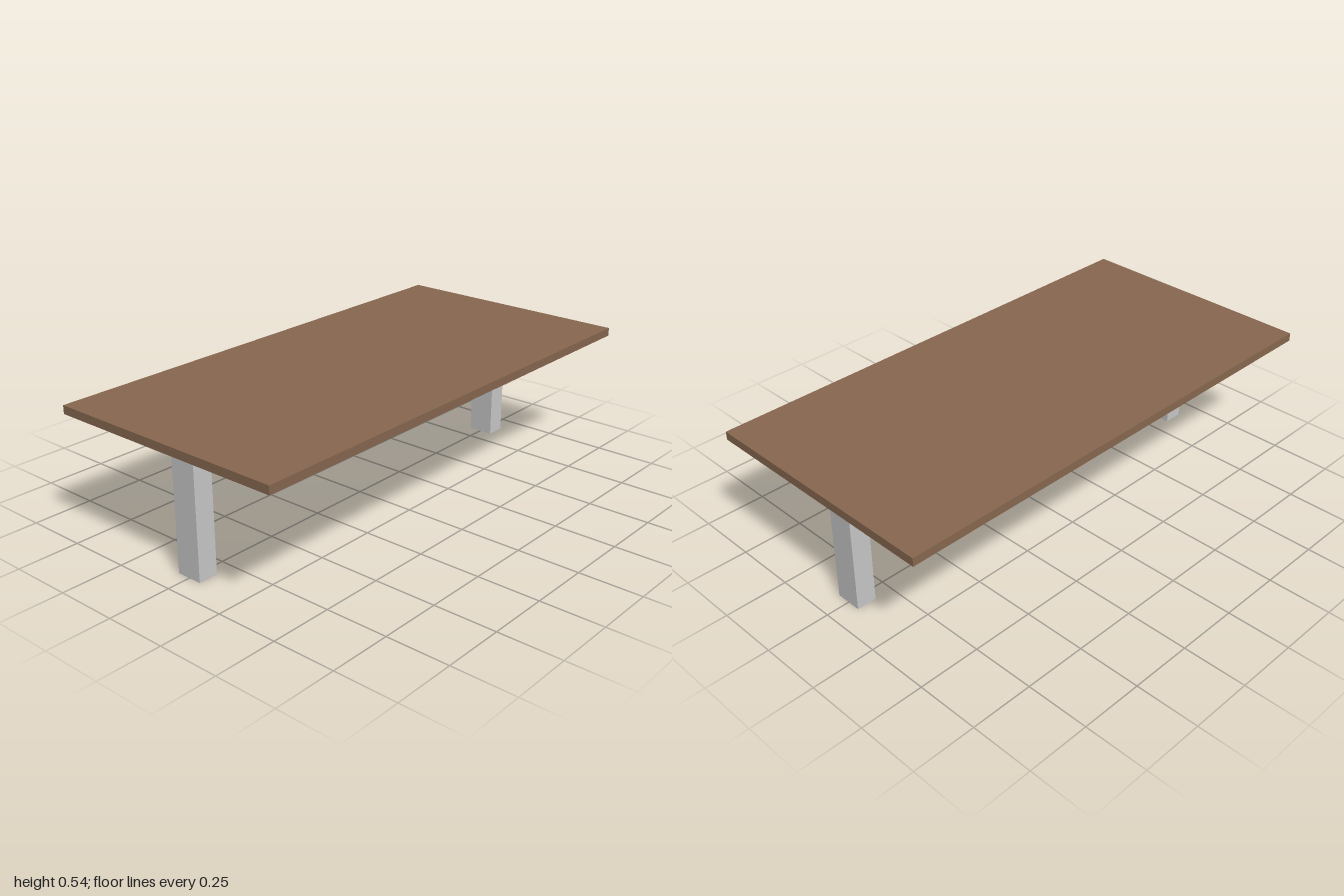
import * as THREE from 'three';

const wood = new THREE.MeshStandardMaterial({ color: 0x886850 });
wood.name = 'brown wood';
const metal = new THREE.MeshStandardMaterial({ color: 0xc9c9c9 });
metal.name = 'light grey metal';

const TOP = 0.508, FLOOR = 0.403, BACK = -0.394, FRONT = -0.192, T = 0.004;

function box(parent, name, mat, x0, x1, y0, y1, z0, z1) {
  const m = new THREE.Mesh(new THREE.BoxGeometry(x1 - x0, y1 - y0, z1 - z0), mat);
  m.position.set((x0 + x1) / 2, (y0 + y1) / 2, (z0 + z1) / 2);
  m.name = name;
  parent.add(m);
  return m;
}

function outline(points) {
  return points.map(([x, y]) => new THREE.Vector2(x, y));
}

// Thin sheet from the origin to (w, h); slots are [x, y, width, height]
function panel(name, w, h, slots) {
  const shape = new THREE.Shape(outline([[0, 0], [w, 0], [w, h], [0, h]]));
  for (const [x, y, a, b] of slots) {
    shape.holes.push(new THREE.Path(outline([[x, y], [x, y + b], [x + a, y + b], [x + a, y]])));
  }
  const m = new THREE.Mesh(new THREE.ExtrudeGeometry(shape, { depth: T, bevelEnabled: false }), metal);
  m.name = name;
  return m;
}

// Grid of slots, three per row
function slotRows(w, rows, height) {
  const out = [];
  for (const y of rows) {
    for (const f of [0.115, 0.455, 0.785]) out.push([f * w, y, Math.min(0.24 * w, 0.972 * w - f * w), height]);
  }
  return out;
}

// Hanging bracket: top plate and two triangular gussets
function bracket(x, s, z) {
  const g = new THREE.Group();
  g.name = 'hangingBracket';
  box(g, 'bracketPlate', metal, Math.min(x, x + s * 0.05), Math.max(x, x + s * 0.05), TOP - 0.005, TOP, z - 0.024, z + 0.024);
  for (const dz of [-0.0165, 0.0165]) {
    const shape = new THREE.Shape(outline([[0, 0], [s * 0.048, 0], [0, -0.038]]));
    const m = new THREE.Mesh(new THREE.ExtrudeGeometry(shape, { depth: 0.006, bevelEnabled: false }), metal);
    m.position.set(x, TOP - 0.004, z + dz - 0.003);
    m.name = 'bracketGusset';
    g.add(m);
  }
  return g;
}

// Slotted tray; side is +1 or -1 for a bracketed side wall, 0 for none
function tray(cx, half, side) {
  const g = new THREE.Group();
  g.name = 'underTableTray';
  const w = half * 2, depth = FRONT - BACK, h = TOP - FLOOR;

  const floor = panel('trayFloor', w, depth, slotRows(w, [0.025, 0.07, 0.115, 0.16], 0.014));
  floor.rotation.x = -Math.PI / 2;
  floor.position.set(cx - half, FLOOR, FRONT);
  g.add(floor);

  const slots = slotRows(w, [0.021, 0.053], 0.008);
  if (!side) slots.push([half - 0.022, 0.07, 0.008, 0.026], [half + 0.014, 0.07, 0.008, 0.026]);
  const back = panel('trayBack', w, h, slots);
  back.position.set(cx - half, FLOOR, BACK);
  g.add(back);

  for (const s of [-1, 1]) {
    const edge = cx + s * half;
    if (s === side) {
      const wall = panel('traySide', depth, h, slotRows(depth, [0.021, 0.053], 0.008));
      wall.rotation.y = Math.PI / 2;
      wall.position.set(s > 0 ? edge - T : edge, FLOOR, FRONT);
      g.add(wall);
      for (const z of [-0.232, -0.357]) g.add(bracket(edge, s, z));
    } else {
      // Open side: slim rail below the tabletop
      const inner = edge - s * 0.02;
      box(g, 'trayRail', metal, Math.min(edge, inner), Math.max(edge, inner), TOP - 0.006, TOP, BACK, FRONT);
    }
  }
  return g;
}

// Detached ribbed front panel
function ribbedFront(cx) {
  const g = new THREE.Group();
  g.name = 'ribbedFrontPanel';
  const half = 0.088, n = 15, step = (2 * half - 0.012) / n;
  const plate = panel('frontPlate', 2 * half, TOP - FLOOR,
    [[0.04, 0.082, 0.02, 0.01], [0.116, 0.082, 0.02, 0.01]]);
  plate.position.set(cx - half, FLOOR, -0.042);
  g.add(plate);
  for (let i = 0; i < n; i++) {
    const x = cx - half + 0.006 + (i + 0.5) * step;
    box(g, 'frontRib', metal, x - step * 0.27, x + step * 0.27, 0.412, 0.482, -0.038, -0.033);
  }
  return g;
}

export function createModel() {
  const model = new THREE.Group();
  model.name = 'table';
  box(model, 'tabletop', wood, -1, 1, TOP, 0.541, -0.5, 0.5);
  for (const s of [-1, 1]) {
    box(model, 'leg', metal, s * 0.865 - 0.04, s * 0.865 + 0.04, 0, TOP, -0.053, 0.053);
    model.add(tray(s * 0.353, 0.088, s));
  }
  model.add(tray(0, 0.099, 0));
  for (const x of [-0.353, 0, 0.353]) model.add(ribbedFront(x));
  return model;
}
